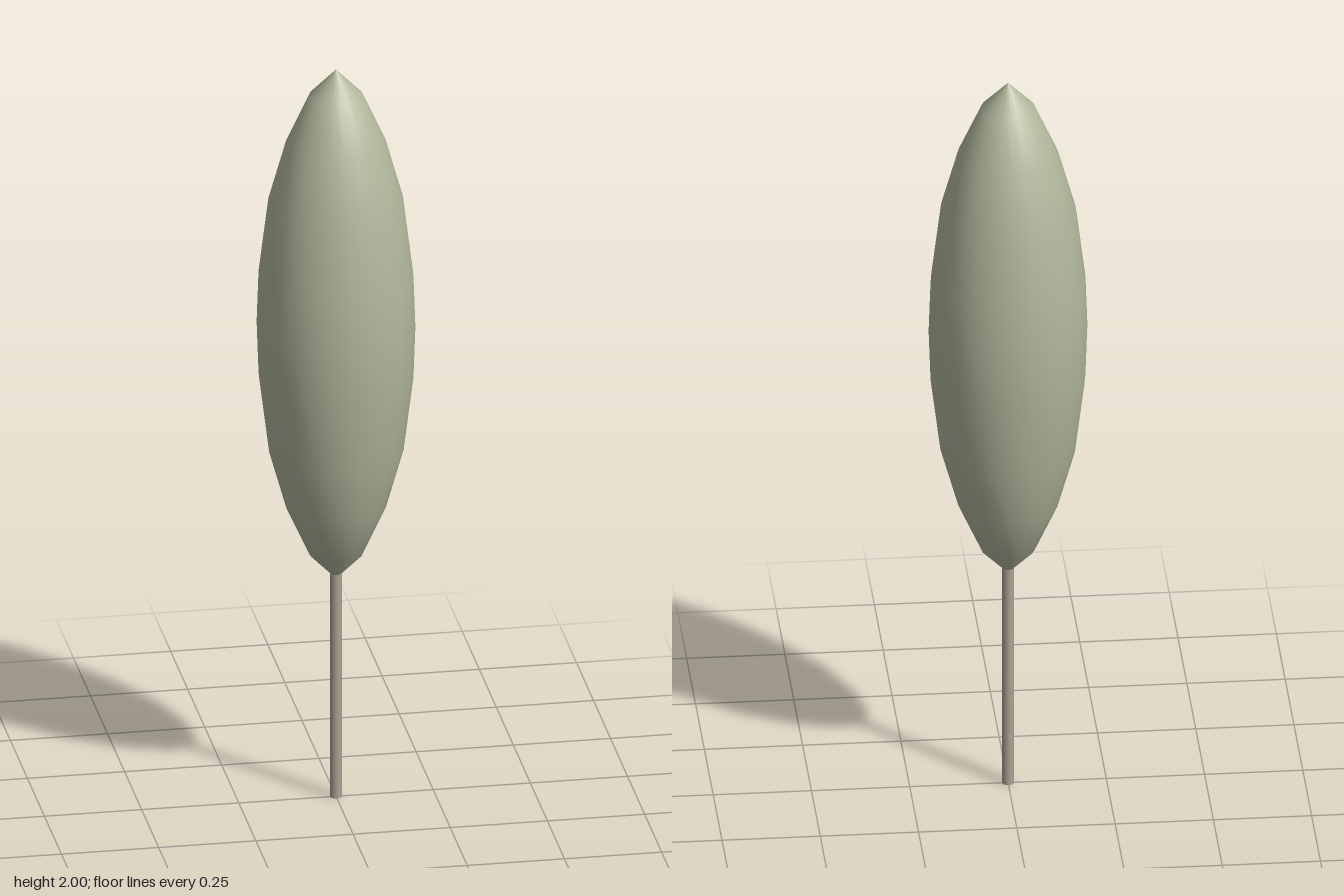
import * as THREE from 'three';

export function createModel() {
  const group = new THREE.Group();

  // Trunk: a thin straight pole reaching just into the crown
  const trunkHeight = 0.62;
  const trunk = new THREE.Mesh(
    new THREE.CylinderGeometry(0.015, 0.015, trunkHeight, 12),
    new THREE.MeshStandardMaterial({ color: 0xaca294 })
  );
  trunk.name = 'trunk';
  trunk.position.y = trunkHeight / 2;
  group.add(trunk);

  // Crown: a spindle, mirrored about its middle; [radius, distance from tip]
  const half = [[0, 0], [0.068, 0.07], [0.127, 0.2], [0.172, 0.36], [0.197, 0.56]];
  const bottom = 0.6, top = 2;
  const profile = [
    ...half.map(([r, d]) => new THREE.Vector2(r, bottom + d)),
    new THREE.Vector2(0.202, (bottom + top) / 2),
    ...half.map(([r, d]) => new THREE.Vector2(r, top - d)).reverse(),
  ];
  const crown = new THREE.Mesh(
    new THREE.LatheGeometry(profile, 24),
    new THREE.MeshStandardMaterial({ color: 0xb2b79c })
  );
  crown.name = 'crown';
  group.add(crown);

  return group;
}
